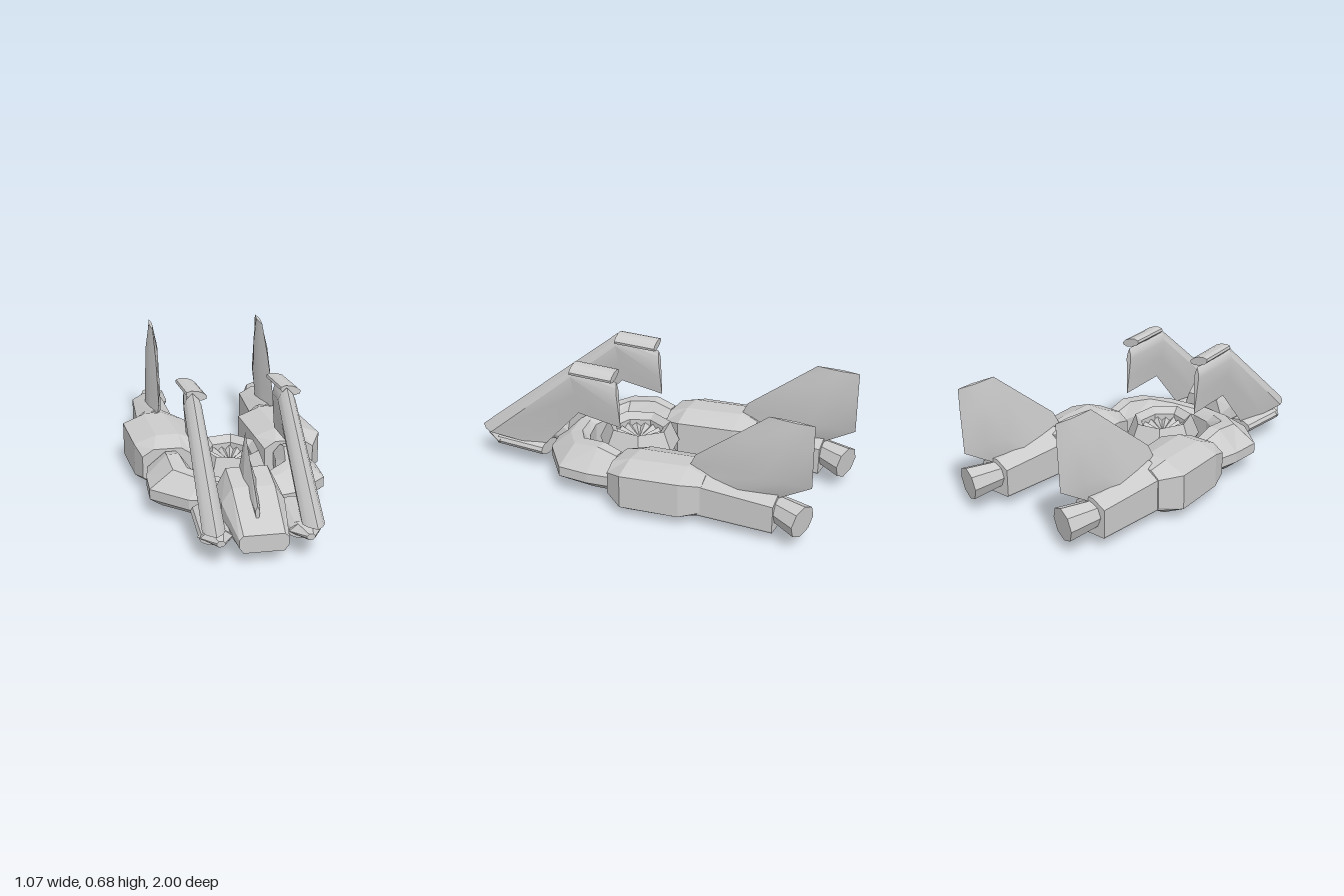
import * as THREE from 'three';
import { toCreasedNormals } from 'three/addons/utils/BufferGeometryUtils.js';

const mat = new THREE.MeshStandardMaterial({ color: 0xcccccc, flatShading: true });
const smooth = new THREE.MeshStandardMaterial({ color: 0xcccccc, side: THREE.DoubleSide });

// Skin a row of equal-length cross-sections and cap both ends; faces always point outward.
function loft(sections) {
  const tris = [];
  const n = sections[0].length;
  for (let s = 0; s + 1 < sections.length; s++) {
    for (let i = 0; i < n; i++) {
      const j = (i + 1) % n;
      const a = sections[s][i], b = sections[s][j], c = sections[s + 1][j], d = sections[s + 1][i];
      tris.push([a, b, c], [a, c, d]);
    }
  }
  const cap = (sec, flip) => {
    const mid = [0, 1, 2].map(k => sec.reduce((t, p) => t + p[k], 0) / n);
    sec.forEach((p, i) => {
      const q = sec[(i + 1) % n];
      tris.push(flip ? [mid, q, p] : [mid, p, q]);
    });
  };
  cap(sections[0], true);
  cap(sections[sections.length - 1], false);
  const v = p => new THREE.Vector3(...p);
  const volume = tris.reduce((t, [a, b, c]) => t + v(a).dot(v(b).cross(v(c))), 0);
  if (volume < 0) tris.forEach(t => t.reverse());
  const g = new THREE.BufferGeometry();
  g.setAttribute('position', new THREE.Float32BufferAttribute(tris.flat(2), 3));
  g.computeVertexNormals();
  return g;
}

// Bevelled section facing z: x limits, y limits and corner insets.
function bevel(z, x0, x1, y0, y1, topIn, botIn, shoulder, sill) {
  return [[x0 + botIn, y0, z], [x1 - botIn, y0, z], [x1, y0 + sill, z], [x1, y1 - shoulder, z],
    [x1 - topIn, y1, z], [x0 + topIn, y1, z], [x0, y1 - shoulder, z], [x0, y0 + sill, z]];
}

// Fin through chords [leadZ, leadY, trailZ, trailY, x, halfThickness]; fullest at the given chord fraction.
function fin(chords, full) {
  const sections = chords.map(([z0, y0, z1, y1, x, t]) => {
    const at = (k, w) => [x + w * t, y0 + (y1 - y0) * k, z0 + (z1 - z0) * k];
    const k = (1 + full) / 2;
    return [at(0, 0), at(full / 2, 0.7), at(full, 1), at(k, 0.55), at(1, 0),
      at(k, -0.55), at(full, -1), at(full / 2, -0.7)];
  });
  return toCreasedNormals(loft(sections), 0.6);
}

function add(parent, name, geometry, material = mat) {
  const m = new THREE.Mesh(geometry, material);
  m.name = name;
  parent.add(m);
  return m;
}

// Tube lying along z.
function barrel(r0, r1, len, sides) {
  return new THREE.CylinderGeometry(r0, r1, len, sides).rotateX(Math.PI / 2);
}

// Rear engine, modelled around its own x = 0.
function enginePod() {
  const g = new THREE.Group();
  add(g, 'engineBody', loft([
    bevel(0.065, -0.13, 0.14, 0.055, 0.245, 0.06, 0.04, 0.04, 0.03),
    bevel(-0.04, -0.165, 0.2, 0, 0.285, 0.12, 0.09, 0.045, 0.06),
    bevel(-0.35, -0.2, 0.15, 0, 0.295, 0.12, 0.125, 0.05, 0.06),
    bevel(-0.45, -0.12, 0.09, 0.06, 0.27, 0.05, 0.01, 0.04, 0.02)]));
  add(g, 'tailBoom', loft([
    bevel(-0.4, -0.115, 0.095, 0.06, 0.29, 0.09, 0.005, 0.06, 0.01),
    bevel(-0.83, -0.105, 0.075, 0.06, 0.25, 0.07, 0.005, 0.04, 0.01)]));
  add(g, 'tailFin', fin([
    [-0.34, 0.28, -0.82, 0.22, 0, 0.045],
    [-0.38, 0.36, -1.0, 0.33, 0.01, 0.042],
    [-0.6, 0.535, -1.0, 0.55, 0.022, 0.035],
    [-0.77, 0.67, -1.0, 0.67, 0.025, 0.01]], 0.6), smooth);
  const nozzle = add(g, 'nozzle', barrel(0.068, 0.088, 0.17, 8));
  nozzle.position.set(0.008, 0.155, -0.89);
  nozzle.rotation.set(-0.1, -0.3, 0);
  const joint = add(g, 'armJoint', barrel(0.06, 0.06, 0.08, 10));
  joint.position.set(0, 0.15, 0.08);
  return g;
}

// Front fin with its tip barrel and side pod, around its own x = 0; s is the side.
function frontFinUnit(s) {
  const g = new THREE.Group();
  add(g, 'frontFin', fin([
    [1.0, 0.18, 0.6, 0.13, 0.01, 0.055],
    [0.39, 0.67, 0.37, 0.38, -0.01, 0.045],
    [0.13, 0.61, 0.11, 0.35, -0.01, 0.015]], 0.22), smooth);
  const tip = add(g, 'finTipBarrel', barrel(0.056, 0.056, 0.24, 10));
  tip.scale.set(1, 0.42, 1);
  tip.position.set(0, 0.648, 0.26);
  tip.rotation.set(-0.04, 0.1, -0.25);
  // Flattened pod with a wedge point, set slightly inboard
  const pod = new THREE.Group();
  pod.name = 'sidePod';
  pod.position.x = -0.025 * s;
  g.add(pod);
  const body = add(pod, 'podBody', barrel(0.08, 0.08, 0.3, 12));
  body.scale.y = 0.5;
  body.position.set(0, 0.12, 0.73);
  add(pod, 'podPoint', loft([
    bevel(0.86, -0.09, 0.09, 0.09, 0.16, 0.05, 0.05, 0.04, 0.03),
    bevel(0.97, -0.01, 0.03, 0.115, 0.145, 0.01, 0.01, 0.01, 0.01)]));
  return g;
}

export function createModel() {
  const root = new THREE.Group();

  for (const s of [-1, 1]) {
    const side = s > 0 ? 'left' : 'right';
    const engine = enginePod();
    engine.name = side + 'Engine';
    engine.position.x = s * 0.335;
    root.add(engine);

    const unit = frontFinUnit(s);
    unit.name = side + 'FrontFin';
    unit.position.x = 0.015 + s * 0.24;
    root.add(unit);
  }

  // Horseshoe collar: inner x,z, outer x,z and crest height, mirrored round the front
  const half = [
    [0.25, 0.08, 0.44, 0.08, 0.235], [0.24, 0.18, 0.46, 0.2, 0.265], [0.21, 0.32, 0.46, 0.37, 0.245],
    [0.12, 0.375, 0.28, 0.53, 0.225], [0, 0.41, 0, 0.6, 0.21]];
  const path = [...half, ...half.slice(0, -1).reverse().map(([a, b, c, d, h]) => [-a, b, -c, d, h])];
  add(root, 'collar', loft(path.map(([xi, zi, xo, zo, h]) => {
    const at = (k, y) => [xi + (xo - xi) * k, y, zi + (zo - zi) * k];
    return [at(0, 0.06), at(0, 0.19), at(0.2, h), at(0.5, h), at(1, 0.155), at(1, 0.1), at(0.75, 0.055)];
  })));

  // Faceted cockpit head, narrower below the shoulder
  add(root, 'head', loft([
    bevel(0.51, -0.12, 0.14, 0.07, 0.27, 0.03, 0.03, 0.08, 0.06),
    bevel(0.57, -0.15, 0.16, 0.045, 0.335, 0.05, 0.05, 0.1, 0.11),
    bevel(0.75, -0.15, 0.16, 0.045, 0.31, 0.05, 0.05, 0.08, 0.11),
    bevel(0.95, -0.1, 0.14, 0.06, 0.15, 0.02, 0.02, 0.02, 0.03)]));
  // Crest: half-width, base, shoulder and peak heights along z
  const crest = [[0.56, 0.03, 0.28, 0.33, 0.515], [0.68, 0.03, 0.27, 0.32, 0.42], [0.88, 0.012, 0.2, 0.24, 0.265]];
  add(root, 'headCrest', loft(crest.map(([z, w, y0, y1, y2]) =>
    [[-w / 2, y0, z], [w / 2, y0, z], [w, y1, z], [0, y2, z], [-w, y1, z]])));

  // Core ring with pleated dishes above and below
  const core = new THREE.Group();
  core.name = 'core';
  core.position.set(0, 0, 0.13);
  core.rotation.y = 0.2;
  core.scale.set(1, 1, 1.15);
  const profile = [[0.115, 0.08], [0.15, 0.05], [0.2, 0.15], [0.155, 0.265], [0.12, 0.23], [0.115, 0.08]];
  add(core, 'coreRing', new THREE.LatheGeometry(profile.map(p => new THREE.Vector2(...p)), 7));
  for (const s of [-1, 1]) {
    const dish = new THREE.ConeGeometry(0.13, 0.06, 32, 1, true);
    const p = dish.attributes.position;
    for (let i = 0; i < p.count; i++) {
      const outer = Math.hypot(p.getX(i), p.getZ(i)) > 0.01;
      p.setY(i, 0.155 + s * (outer ? (i % 2 ? 0.065 : 0.04) : 0.02));
    }
    const pleat = add(core, s > 0 ? 'upperFan' : 'lowerFan', dish, mat.clone());
    pleat.material.side = THREE.DoubleSide;
  }
  root.add(core);
  return root;
}
